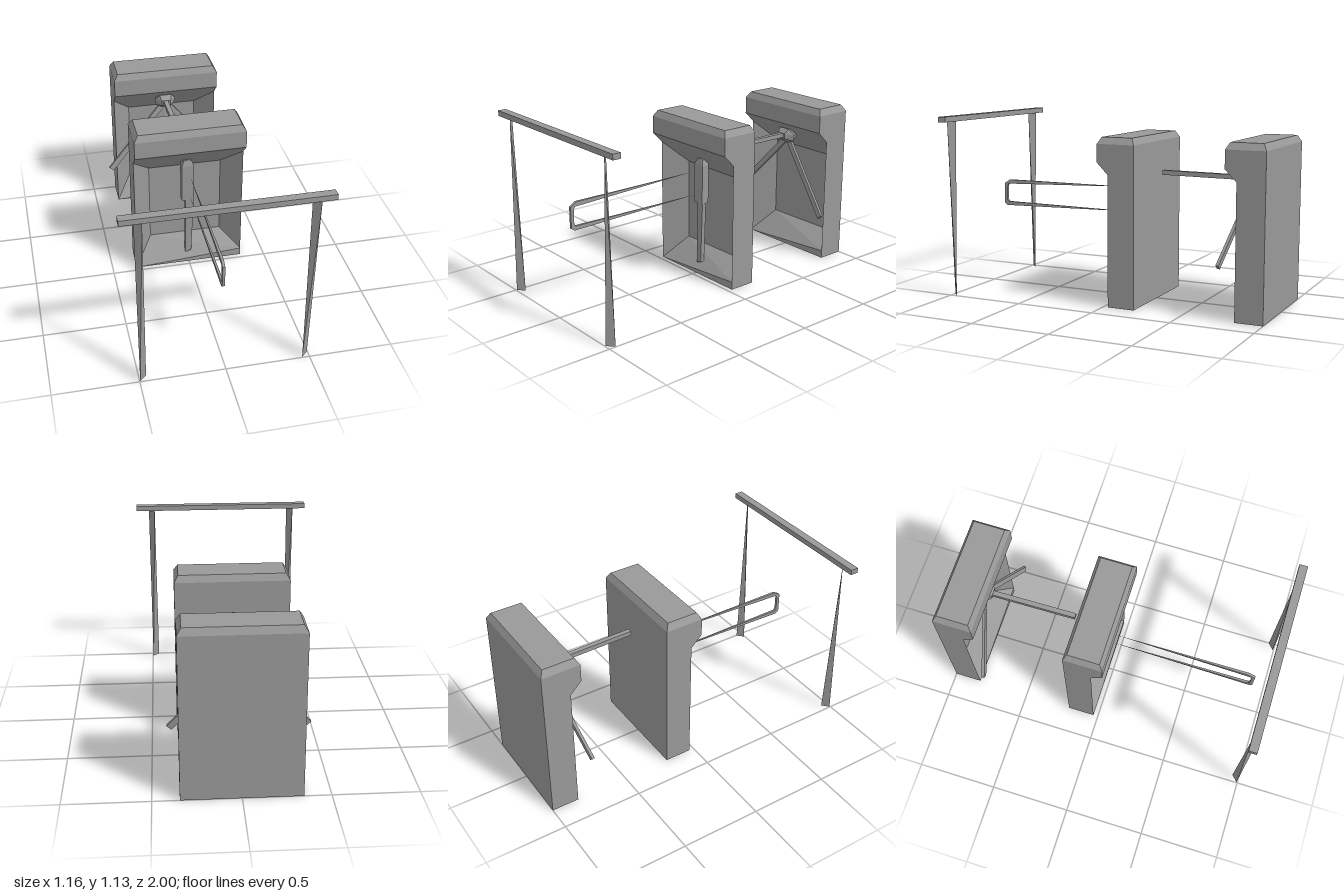
import * as THREE from 'three';
import { ConvexGeometry } from 'three/addons/geometries/ConvexGeometry.js';

const grey = new THREE.MeshStandardMaterial({ color: 0x999999, side: THREE.DoubleSide });
grey.name = 'grey';

function part(geometry, name, parent) {
  const mesh = new THREE.Mesh(geometry, grey);
  mesh.name = name;
  parent.add(mesh);
  return mesh;
}

// Faceted solid around a few corner points
function hull(points) {
  return new ConvexGeometry(points.map((p) => new THREE.Vector3(...p)));
}

// Flat-shaded shell from polygons, each cut into a fan from its first corner
function shell(polygons) {
  const pos = [];
  for (const p of polygons) {
    for (let i = 1; i < p.length - 1; i++) pos.push(...p[0], ...p[i], ...p[i + 1]);
  }
  const g = new THREE.BufferGeometry();
  g.setAttribute('position', new THREE.Float32BufferAttribute(pos, 3));
  g.computeVertexNormals();
  return g;
}

// Rectangular bar between two points
function bar(a, b, w, h, name, parent) {
  const from = new THREE.Vector3(...a), to = new THREE.Vector3(...b);
  const mesh = part(new THREE.BoxGeometry(w, h, from.distanceTo(to)), name, parent);
  mesh.position.copy(from).add(to).multiplyScalar(0.5);
  mesh.lookAt(to);
  return mesh;
}

// Hollow housing, open underneath, with a sunken front and an overhanging head
function cabinetGeometry() {
  const W = 0.345, T = 0.32, I = 0.23;
  const back = -0.2, rim = -0.03, head = 0.04, deep = -0.16;
  const faces = [
    [[W, 0, back], [-W, 0, back], [-W, 0.98, back], [W, 0.98, back]], // back
    [[-W, 0.87, head], [W, 0.87, head], [W, 0.98, head], [-W, 0.98, head]], // head front
    [[-T, 1.02, 0.018], [T, 1.02, 0.018], [T, 1.02, -0.178], [-T, 1.02, -0.178]], // top
    [[-W, 0.98, head], [W, 0.98, head], [T, 1.02, 0.018], [-T, 1.02, 0.018]], // front bevel
    [[W, 0.98, back], [-W, 0.98, back], [-T, 1.02, -0.178], [T, 1.02, -0.178]], // back bevel
    [[W, 0.87, head], [-W, 0.87, head], [-W, 0.8, rim], [-I, 0.67, deep], [I, 0.67, deep], [W, 0.8, rim]], // head underside
    [[-I, 0.15, deep], [I, 0.15, deep], [I, 0.67, deep], [-I, 0.67, deep]], // sunken panel
    [[-I, 0.15, deep], [-W, 0, rim], [W, 0.05, rim], [I, 0.15, deep]], // sill
    [[-W, 0, rim], [W, 0, rim], [W, 0.05, rim]], // skirt
    [[-W, 0, rim], [-I, 0.15, deep], [-I, 0.67, deep], [-W, 0.8, rim]], // recess sides
    [[I, 0.15, deep], [W, 0.05, rim], [W, 0.8, rim], [I, 0.67, deep]],
  ];
  // Outer sides and side bevels
  for (const s of [1, -1]) {
    const side = [[s * W, 0.8, rim], [s * W, 0, rim], [s * W, 0, back],
      [s * W, 0.98, back], [s * W, 0.98, head], [s * W, 0.87, head]];
    const bevel = [[s * W, 0.98, head], [s * W, 0.98, back], [s * T, 1.02, -0.178], [s * T, 1.02, 0.018]];
    faces.push(s > 0 ? side : side.reverse(), s > 0 ? bevel : bevel.reverse());
  }
  // Reversed side polygon must fan from its inner corner too
  const left = faces[faces.length - 2];
  left.unshift(left.pop());
  return shell(faces);
}

export function createModel() {
  const model = new THREE.Group();
  model.name = 'turnstiles';

  // Gate frame: beam on two twisted posts
  const gate = new THREE.Group();
  gate.name = 'gateFrame';
  model.add(gate);
  part(new THREE.BoxGeometry(1.16, 0.033, 0.05), 'gateBeam', gate).position.set(0, 1.109, 0.975);
  for (const s of [-1, 1]) {
    const x0 = s * 0.477 - 0.02, x1 = s * 0.477 + 0.02;
    part(hull([[x0, 1.093, 0.957], [x1, 1.093, 0.995], [x0, 0, 0.995], [x1, 0, 0.957]]), 'gatePost', gate);
  }

  // Two cabinets, one behind the other
  const cabinet = cabinetGeometry();
  part(cabinet, 'frontCabinet', model);
  part(cabinet, 'rearCabinet', model).position.z = -0.8;

  // Front cabinet: arm mount and its long stem
  const mount = new THREE.Group();
  mount.name = 'armMount';
  model.add(mount);
  const block = [];
  for (const z of [-0.05, -0.1]) {
    block.push([-0.04, 0.47, z], [0.035, 0.47, z], [0.037, 0.72, z], [-0.04, 0.72, z]);
    block.push([-0.025, 0.755, z - 0.01], [0.025, 0.755, z - 0.01], [0, 0.763, z - 0.01]);
  }
  part(hull(block), 'mountBlock', mount);
  const stem = [];
  for (const z of [-0.052, -0.08]) {
    stem.push([-0.018, 0.47, z], [0.036, 0.47, z], [0.02, 0.072, z], [-0.018, 0.06, z]);
  }
  part(hull(stem), 'mountStem', mount);

  // Loop barrier: two rods tapering to points, joined by an end piece
  const loop = new THREE.Group();
  loop.name = 'loopBarrier';
  model.add(loop);
  const x = 0.008;
  const both = (y, z) => [[-x, y, z], [x, y, z]];
  part(hull([...both(0.685, 0.86), ...both(0.658, 0.87), [0, 0.686, 0]]), 'upperRod', loop);
  part(hull([...both(0.515, 0.88), ...both(0.54, 0.87), [0, 0.532, -0.03]]), 'lowerRod', loop);
  part(hull([...both(0.685, 0.86), ...both(0.658, 0.87), ...both(0.66, 0.9),
    ...both(0.64, 0.882), ...both(0.66, 0.875)]), 'upperBend', loop);
  part(hull([...both(0.66, 0.9), ...both(0.65, 0.88), ...both(0.55, 0.88), ...both(0.53, 0.9)]), 'loopEnd', loop);
  part(hull([...both(0.53, 0.9), ...both(0.515, 0.88), ...both(0.54, 0.87), ...both(0.555, 0.88)]), 'lowerBend', loop);

  // Rear cabinet: three-armed hub
  const tripod = new THREE.Group();
  tripod.name = 'tripod';
  model.add(tripod);
  const hub = [];
  for (const s of [-1, 1]) {
    hub.push([s * 0.03, 0.8, -0.765], [s * 0.03, 0.765, -0.768], [s * 0.04, 0.83, -0.79],
      [s * 0.07, 0.79, -0.815], [s * 0.06, 0.745, -0.82], [s * 0.03, 0.72, -0.83], [s * 0.04, 0.8, -0.9]);
  }
  part(hull(hub), 'hub', tripod);
  bar([-0.003, 0.785, -0.8], [0.003, 0.79, -0.24], 0.03, 0.028, 'forwardArm', tripod);
  for (const s of [-1, 1]) {
    bar([0, 0.765, -0.825], [s * 0.395, 0.322, -0.745], 0.036, 0.018, 'sideArm', tripod)
      .rotateZ(s * 1.4);
  }
  return model;
}
